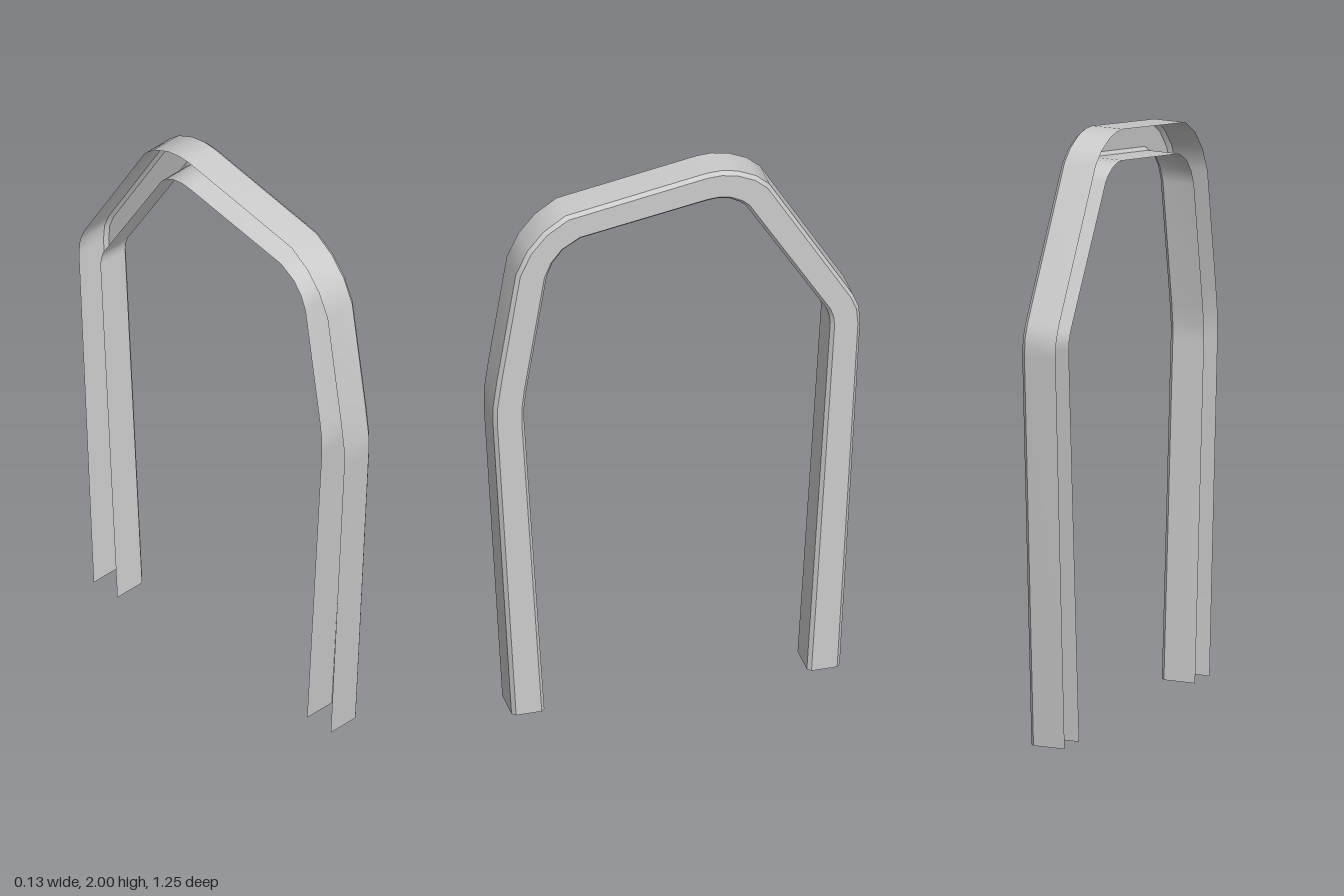
import * as THREE from 'three';

// Stations along the frame: outer z, outer y, inner z, inner y
const STATIONS = [
  [0.565, 0, 0.453, 0],
  [0.628, 1.14, 0.522, 1.14],
  [0.628, 1.21, 0.522, 1.19],
  [0.613, 1.32, 0.514, 1.26],
  [0.55, 1.715, 0.445, 1.69],
  [0.51, 1.80, 0.425, 1.74],
  [0.455, 1.865, 0.39, 1.785],
  [0.38, 1.915, 0.33, 1.82],
  [-0.10, 1.998, -0.10, 1.892],
  [-0.15, 2.0, -0.14, 1.895],
  [-0.205, 1.99, -0.18, 1.887],
  [-0.27, 1.96, -0.215, 1.868],
  [-0.315, 1.92, -0.235, 1.85],
  [-0.60, 1.44, -0.51, 1.40],
  [-0.62, 1.39, -0.52, 1.37],
  [-0.625, 1.33, -0.523, 1.34],
  [-0.555, 0, -0.443, 0],
];

// Channel section: x, and fraction across from the outer to the inner edge
const SECTION = [[-0.063, 0], [0.05, 0], [0.063, 0.11], [0.063, 0.89], [0.05, 1], [-0.063, 1]];
const NAMES = ['outerFlange', 'outerBevel', 'web', 'innerBevel', 'innerFlange'];

// One strip of the channel, smooth along the frame and sharp at its sides
function strip(a, b) {
  const positions = [];
  const index = [];
  STATIONS.forEach(([oz, oy, iz, iy], i) => {
    for (const [x, t] of [a, b]) {
      positions.push(x, oy + (iy - oy) * t, oz + (iz - oz) * t);
    }
    if (i > 0) {
      const k = (i - 1) * 2;
      index.push(k, k + 1, k + 2, k + 1, k + 3, k + 2);
    }
  });
  const geometry = new THREE.BufferGeometry();
  geometry.setAttribute('position', new THREE.Float32BufferAttribute(positions, 3));
  geometry.setIndex(index);
  geometry.computeVertexNormals();
  return geometry;
}

export function createModel() {
  const group = new THREE.Group();
  group.name = 'doorFrameChannel';
  const material = new THREE.MeshStandardMaterial({ color: 0xcccccc, side: THREE.DoubleSide });

  // Open channel: two flanges, two bevels and the web between them
  NAMES.forEach((name, i) => {
    const mesh = new THREE.Mesh(strip(SECTION[i], SECTION[i + 1]), material);
    mesh.name = name;
    group.add(mesh);
  });
  return group;
}
